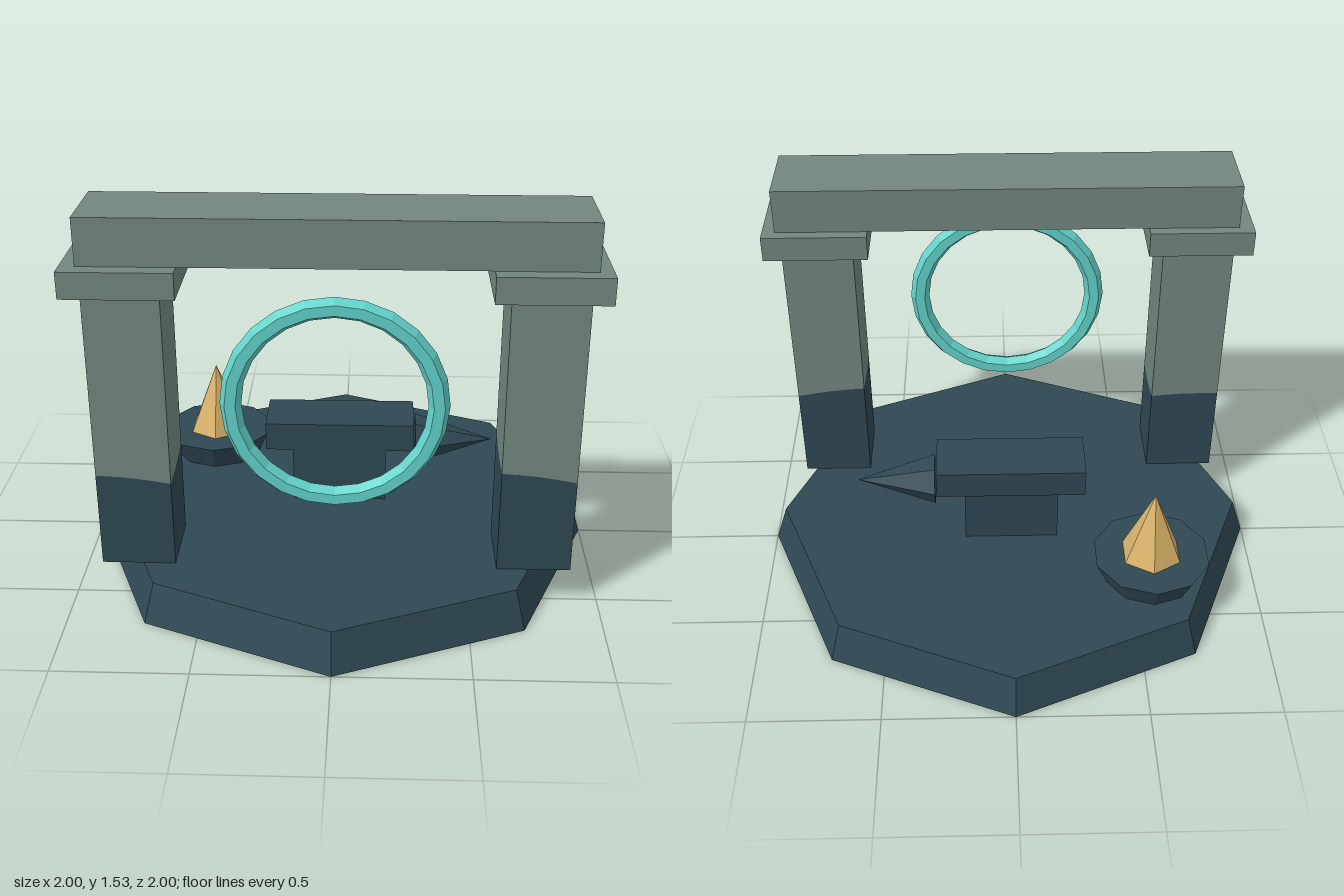
import * as THREE from 'three';

const material = (name, color) => {
  const m = new THREE.MeshStandardMaterial({ color });
  m.name = name;
  return m;
};

export function createModel() {
  const model = new THREE.Group();
  model.name = 'ruinedShrine';
  const slate = material('darkSlate', 0x2f4853);
  const stone = material('paleStone', 0x72867f);
  const teal = material('tealGlow', 0x62d3ca);
  const gold = material('gold', 0xd9b36a);

  // Adds a faceted mesh
  const add = (name, geometry, mat, x, y, z) => {
    const flat = geometry.toNonIndexed();
    flat.computeVertexNormals();
    const mesh = new THREE.Mesh(flat, mat);
    mesh.name = name;
    mesh.position.set(x, y, z);
    model.add(mesh);
    return mesh;
  };

  // Box given by its limits on each axis
  const box = (name, mat, [x0, x1], [y0, y1], [z0, z1]) =>
    add(name, new THREE.BoxGeometry(x1 - x0, y1 - y0, z1 - z0), mat,
      (x0 + x1) / 2, (y0 + y1) / 2, (z0 + z1) / 2);

  // Octagonal plinth
  add('plinth', new THREE.CylinderGeometry(0.95, 1, 0.155, 8), slate, 0, 0.0775, 0);

  // Pillar section whose top or bottom follows an uneven line
  const section = (name, mat, x, y0, y1, line) => {
    const g = new THREE.BoxGeometry(0.278, 1, 0.275, 4, 1, 4);
    const p = g.attributes.position;
    for (let i = 0; i < p.count; i++) {
      const u = p.getX(i) / 0.278 + 0.5, v = p.getZ(i) / 0.275 + 0.5;
      const edge = line(u, v);
      p.setY(i, p.getY(i) > 0 ? y1 ?? edge : y0 ?? edge);
    }
    add(name, g, mat, x, 0, 0.398);
  };

  // Pillars with dark feet and overhanging capitals;
  // corners run back -x, back +x, front -x, front +x
  const pillars = [
    { side: -1, name: 'right', corners: [0.54, 0.53, 0.53, 0.5] },
    { side: 1, name: 'left', corners: [0.59, 0.555, 0.565, 0.53] },
  ];
  for (const { side, name, corners: [a, b, c, d] } of pillars) {
    const line = (u, v) => (a * (1 - u) + b * u) * (1 - v) + (c * (1 - u) + d * u) * v
      - 0.012 * Math.sin(Math.PI * v) + 0.006 * Math.sin(Math.PI * u);
    section(name + 'PillarFoot', slate, side * 0.747, 0.155, null, line);
    section(name + 'PillarShaft', stone, side * 0.747, null, 1.255, line);
    const capital = new THREE.BoxGeometry(0.405, 0.1, 0.4);
    add(name + 'Capital', capital, stone, side * 0.747, 1.304, 0.4);
  }

  // Lintel across the capitals
  box('lintel', stone, [-0.893, 0.9], [1.354, 1.53], [0.243, 0.543]);

  // Floating ring
  add('ring', new THREE.TorusGeometry(0.371, 0.039, 6, 24), teal, 0, 0.855, 0.57);

  // Altar: block and slab
  box('altarBlock', slate, [-0.19, 0.187], [0.15, 0.385], [-0.188, 0.032]);
  box('altarSlab', slate, [-0.3, 0.3], [0.38, 0.495], [-0.195, 0.032]);

  // Spike at the end of the slab
  const spike = new THREE.ConeGeometry(0.102, 0.315, 6).rotateZ(-Math.PI / 2);
  add('spike', spike, slate, 0.465, 0.382, -0.083);

  // Offering bowl with a gold crystal
  add('bowl', new THREE.CylinderGeometry(0.232, 0.185, 0.105, 10), slate, -0.55, 0.2055, -0.405);
  add('crystal', new THREE.ConeGeometry(0.125, 0.3, 6), gold, -0.55, 0.405, -0.403);

  return model;
}
